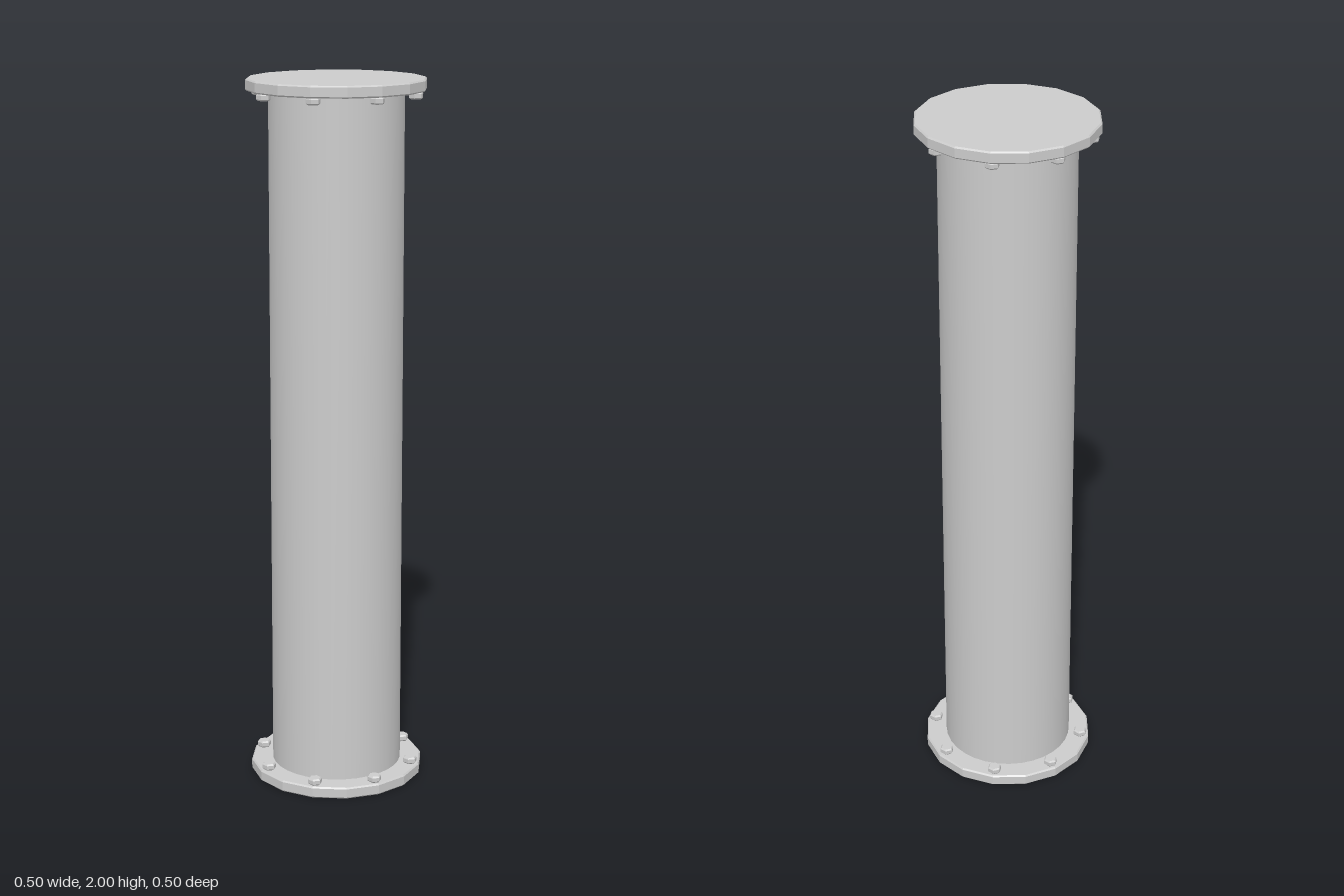
import * as THREE from 'three';

const smooth = new THREE.MeshStandardMaterial({ color: 0xcccccc });
const faceted = new THREE.MeshStandardMaterial({ color: 0xcccccc, flatShading: true });

// Closed solid of revolution from [radius, y] points, listed bottom to top
function turned(points, sides, material, name) {
  const profile = points.map(([r, y]) => new THREE.Vector2(r, y));
  const mesh = new THREE.Mesh(new THREE.LatheGeometry(profile, sides), material);
  mesh.name = name;
  return mesh;
}

// Flange plate with chamfered rims and a ring of bolt heads on its inner face
function createFlange(name) {
  const flange = new THREE.Group();
  flange.name = name;
  const R = 0.248, H = 0.033, c = 0.004;
  flange.add(turned(
    [[0, 0], [R - c, 0], [R, c], [R, H - c], [R - c, H], [0, H]],
    16, faceted, 'flangePlate'));

  for (let i = 0; i < 8; i++) {
    const a = (i / 8) * Math.PI * 2;
    const bolt = turned(
      [[0.016, 0], [0.02, 0.004], [0.02, 0.015], [0.016, 0.019], [0, 0.019]],
      6, faceted, 'bolt');
    bolt.position.set(Math.sin(a) * 0.222, H, Math.cos(a) * 0.222);
    flange.add(bolt);
  }
  return flange;
}

export function createModel() {
  const model = new THREE.Group();
  model.name = 'flangedPipe';

  // Straight pipe between the two flanges
  const pipe = new THREE.Mesh(
    new THREE.CylinderGeometry(0.186, 0.186, 1.95, 32, 1, true), smooth);
  pipe.name = 'pipe';
  pipe.position.y = 1;
  model.add(pipe);

  // Bottom flange, and the same one turned over at the top
  model.add(createFlange('bottomFlange'));
  const top = createFlange('topFlange');
  top.rotation.x = Math.PI;
  top.position.y = 2;
  model.add(top);

  return model;
}
